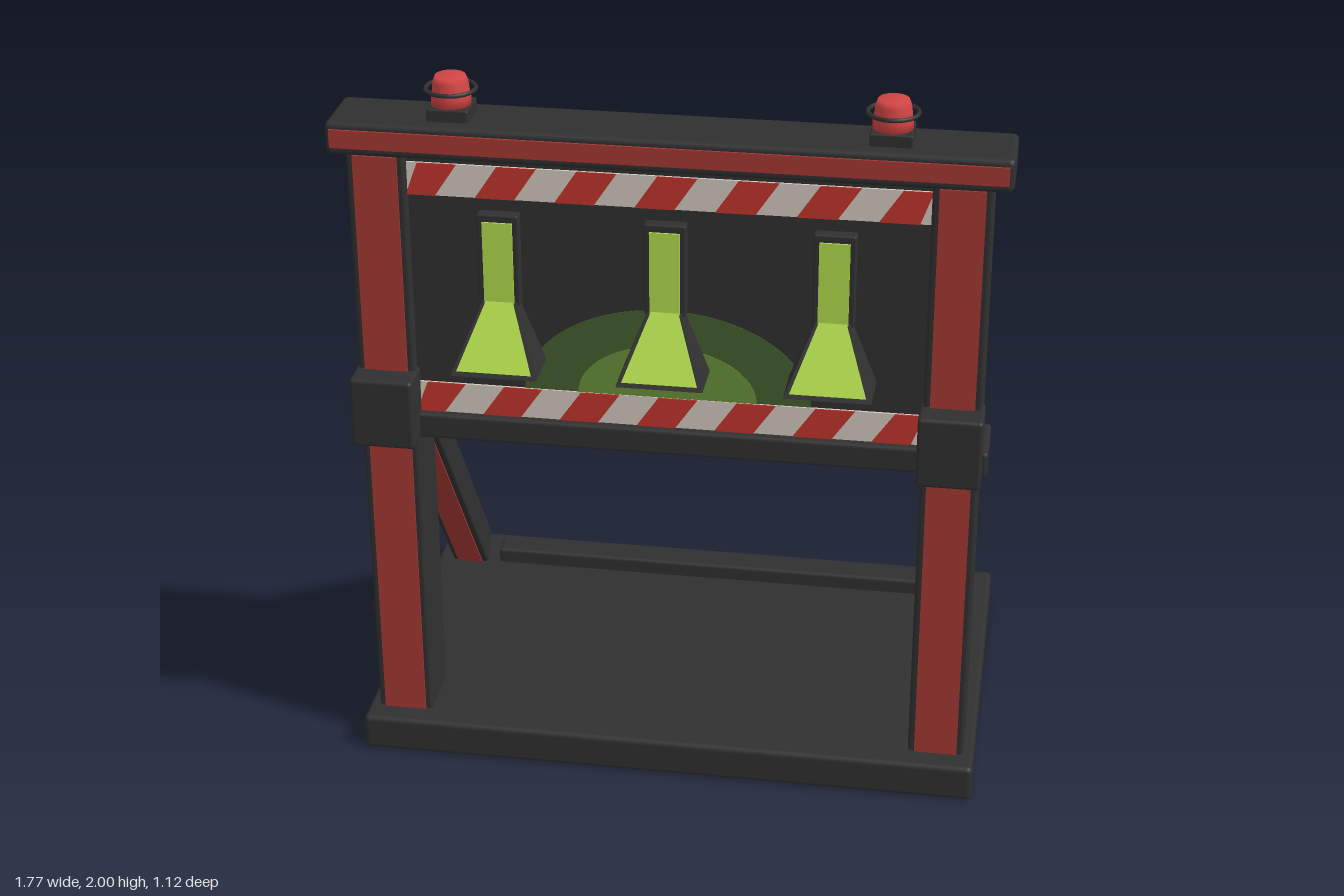
import * as THREE from 'three';
import { RoundedBoxGeometry } from 'three/addons/geometries/RoundedBoxGeometry.js';

const paint = (name, color) => Object.assign(new THREE.MeshStandardMaterial({ color }), { name });

export function createModel() {
  const dark = paint('charcoal', 0x303030);
  const red = paint('frame red', 0xa43833);
  const stripeRed = paint('stripe red', 0xc2352c);
  const white = paint('stripe white', 0xd2cabf);
  const beaconRed = paint('beacon red', 0xd24444);
  const lime = paint('lamp green', 0xb2dc4b);
  const glowOuter = paint('outer glow green', 0x43602f);
  const glowInner = paint('inner glow green', 0x688f39);

  const model = new THREE.Group();
  model.name = 'signalGantry';
  const CZ = 0.36; // depth of the upright frame

  const add = (parent, name, geometry, material, x = 0, y = 0, z = 0) => {
    const mesh = new THREE.Mesh(geometry, material);
    mesh.name = name;
    mesh.position.set(x, y, z);
    parent.add(mesh);
    return mesh;
  };
  // Box given by its extents on each axis
  const block = (parent, name, material, [x0, x1], [y0, y1], [z0, z1], radius = 0.01) => {
    const size = [x1 - x0, y1 - y0, z1 - z0];
    const geometry = radius ? new RoundedBoxGeometry(...size, 2, radius) : new THREE.BoxGeometry(...size);
    return add(parent, name, geometry, material, (x0 + x1) / 2, (y0 + y1) / 2, (z0 + z1) / 2);
  };
  // Thin plate cut from an outline
  const plate = (points, depth) => new THREE.ExtrudeGeometry(
    new THREE.Shape(points.map(p => new THREE.Vector2(...p))), { depth, bevelEnabled: false });

  // Base and its rear kerb
  block(model, 'base', dark, [-0.865, 0.865], [0, 0.105], [-0.56, 0.52], 0.015);
  block(model, 'rearKerb', dark, [-0.668, 0.668], [0.09, 0.15], [-0.48, -0.385]);

  // Cross members and panel
  block(model, 'topBeam', dark, [-0.885, 0.885], [1.8, 1.89], [0.26, 0.46], 0.015);
  block(model, 'bottomRail', dark, [-0.857, 0.857], [0.985, 1.058], [0.27, 0.45]);
  block(model, 'panel', dark, [-0.69, 0.69], [1.04, 1.81], [0.3, 0.42], 0);

  // Posts, brackets, braces and beacons on both sides
  for (const s of [-1, 1]) {
    const side = new THREE.Group();
    side.name = s > 0 ? 'leftSide' : 'rightSide';
    model.add(side);
    const cx = s * 0.758;
    block(side, 'post', dark, [cx - 0.077, cx + 0.077], [0.09, 1.82], [0.27, 0.45]);
    block(side, 'bracket', dark, [cx - 0.085, cx + 0.085], [0.985, 1.185], [0.4, 0.525]);

    // Diagonal brace with red plates above and below
    const top = new THREE.Vector3(cx, 1.14, 0.32);
    const foot = new THREE.Vector3(cx, 0.134, -0.415);
    const length = top.distanceTo(foot);
    const brace = new THREE.Group();
    brace.name = 'brace';
    brace.position.copy(top).add(foot).multiplyScalar(0.5);
    brace.rotation.x = Math.atan2(top.z - foot.z, top.y - foot.y);
    side.add(brace);
    add(brace, 'braceBar', new RoundedBoxGeometry(0.11, length, 0.1, 2, 0.008), dark);
    for (const f of [-1, 1]) {
      add(brace, 'braceStrip', new THREE.BoxGeometry(0.076, length - 0.02, 0.008), red, 0, 0, f * 0.051);
    }

    // Warning beacon
    const beacon = new THREE.Group();
    beacon.name = 'beacon';
    beacon.position.set(s * 0.57, 1.885, CZ);
    side.add(beacon);
    block(beacon, 'beaconBase', dark, [-0.055, 0.055], [0, 0.038], [-0.055, 0.055], 0.005);
    const profile = [[0, 0.03], [0.052, 0.03], [0.052, 0.06], [0.049, 0.075], [0.046, 0.1], [0.04, 0.115], [0, 0.115]];
    add(beacon, 'beaconLens', new THREE.LatheGeometry(profile.map(p => new THREE.Vector2(...p)), 20), beaconRed);
    const ring = add(beacon, 'beaconRing', new THREE.TorusGeometry(0.065, 0.006, 8, 24), dark, 0, 0.08, 0);
    ring.rotation.x = Math.PI / 2;
  }

  // Slanted hazard stripes over a white band
  const hazardBand = (parent, y0, y1) => {
    const edge = 0.685, half = 0.052, lean = 0.03;
    const clip = x => Math.max(-edge, Math.min(edge, x));
    block(parent, 'stripeBand', white, [-edge, edge], [y0, y1], [0.058, 0.066], 0);
    for (let i = -3; i <= 3; i++) {
      const c = i * 0.21;
      add(parent, 'stripe', plate([
        [clip(c - half - lean), y0], [clip(c + half - lean), y0],
        [clip(c + half + lean), y1], [clip(c - half + lean), y1]], 0.004), stripeRed, 0, 0, 0.065);
    }
  };
  // Half-ellipse of painted light
  const glow = (parent, name, material, rx, ry, z) => {
    const points = Array.from({ length: 33 }, (_, i) => {
      const a = Math.PI * i / 32;
      return [rx * Math.cos(a), ry * Math.sin(a)];
    });
    add(parent, name, plate(points, 0.003), material, 0, 1.145, z);
  };

  // Lamp sizes: flared hood under a straight stem
  const hood = { y0: 1.235, y1: 1.41, w0: 0.115, w1: 0.045, d0: 0.197, d1: 0.094 };
  const rise = hood.y1 - hood.y0;
  const slope = Math.atan2(hood.d0 - hood.d1, rise);
  const slant = Math.hypot(rise, hood.d0 - hood.d1);
  const lampX = [-0.44, 0, 0.44];

  // Matching front and back decoration
  for (const turn of [0, Math.PI]) {
    const face = new THREE.Group();
    face.name = turn ? 'backFace' : 'frontFace';
    face.position.z = CZ;
    face.rotation.y = turn;
    model.add(face);
    block(face, 'beamStrip', red, [-0.872, 0.872], [1.822, 1.872], [0.098, 0.106], 0);
    for (const s of [-1, 1]) {
      block(face, 'postStrip', red, [s * 0.758 - 0.059, s * 0.758 + 0.059], [0.105, 1.8], [0.087, 0.095], 0);
    }
    hazardBand(face, 1.69, 1.78);
    hazardBand(face, 1.058, 1.145);
    glow(face, 'outerGlow', glowOuter, 0.385, 0.255, 0.059);
    glow(face, 'innerGlow', glowInner, 0.24, 0.15, 0.061);
    for (const x of lampX) {
      block(face, 'stemLight', lime, [x - 0.04, x + 0.04], [1.4, 1.635], [0.09, 0.097], 0);
      const light = add(face, 'hoodLight', plate(
        [[-0.1, 0.012], [0.1, 0.012], [0.036, slant], [-0.036, slant]], 0.004), lime, x, hood.y0, hood.d0 - 0.001);
      light.rotation.x = -slope;
    }
  }

  // Lamp housings running through the panel
  for (const x of lampX) {
    block(model, 'lampStem', dark, [x - 0.055, x + 0.055], [1.4, 1.655], [CZ - 0.092, CZ + 0.092], 0.005);
    const geometry = new THREE.BoxGeometry(2, rise, 2).toNonIndexed();
    const p = geometry.attributes.position;
    for (let i = 0; i < p.count; i++) {
      const up = p.getY(i) > 0;
      p.setX(i, p.getX(i) * (up ? hood.w1 : hood.w0));
      p.setZ(i, p.getZ(i) * (up ? hood.d1 : hood.d0));
    }
    geometry.computeVertexNormals();
    add(model, 'lampHood', geometry, dark, x, (hood.y0 + hood.y1) / 2, CZ);
  }
  return model;
}
